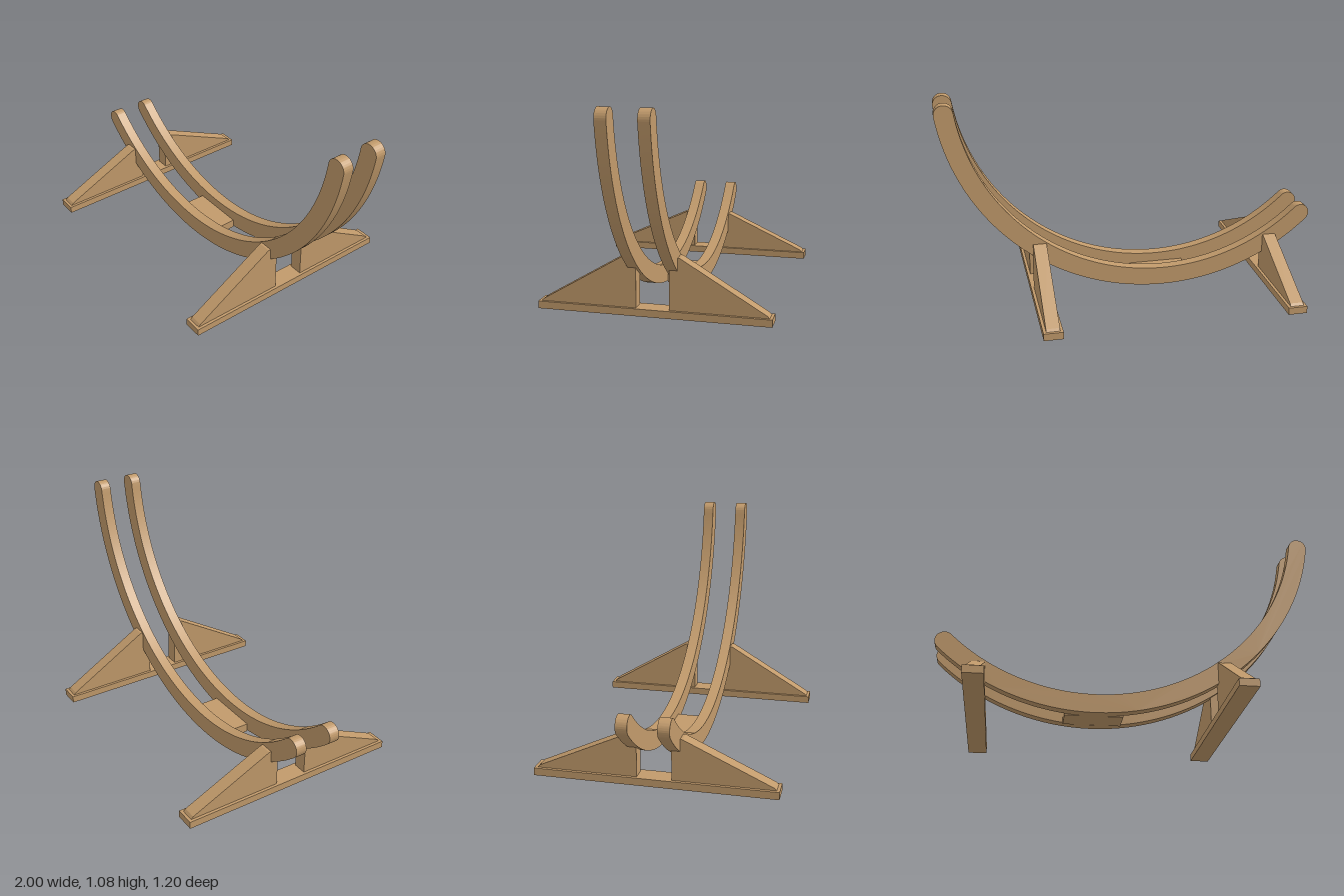
import * as THREE from 'three';
import { toCreasedNormals } from 'three/addons/utils/BufferGeometryUtils.js';

// Curved rail circle: centre, mid radius, half height, end angles
const CX = -0.175, CY = 1.192, R = 1.135, H = 0.049;
const A0 = -2.32, A1 = -0.138;
const RAIL_IN = 0.07, RAIL_OUT = 0.127;

export function createModel() {
  const model = new THREE.Group();
  model.name = 'curvedStand';
  const wood = new THREE.MeshStandardMaterial({ color: 0xc19a6b });
  wood.name = 'wood';

  const add = (geometry, name, parent = model) => {
    const mesh = new THREE.Mesh(geometry, wood);
    mesh.name = name;
    parent.add(mesh);
    return mesh;
  };
  const box = (x0, x1, y0, y1, z0, z1) =>
    new THREE.BoxGeometry(x1 - x0, y1 - y0, z1 - z0)
      .translate((x0 + x1) / 2, (y0 + y1) / 2, (z0 + z1) / 2);

  // Two arc rails with round ends
  const arc = new THREE.Shape();
  arc.absarc(CX, CY, R + H, A0, A1, false);
  arc.absarc(CX + R * Math.cos(A1), CY + R * Math.sin(A1), H, A1, A1 + Math.PI, false);
  arc.absarc(CX, CY, R - H, A1, A0, true);
  arc.absarc(CX + R * Math.cos(A0), CY + R * Math.sin(A0), H, A0 + Math.PI, A0 + 2 * Math.PI, false);
  const railGeometry = toCreasedNormals(new THREE.ExtrudeGeometry(arc, {
    depth: RAIL_OUT - RAIL_IN, bevelEnabled: false, curveSegments: 56,
  }), 0.6);
  add(railGeometry, 'frontRail').position.z = RAIL_IN;
  add(railGeometry, 'backRail').position.z = -RAIL_OUT;

  // Block joining the rails at their lowest point
  add(box(-0.325, -0.025, 0.009, 0.056, -RAIL_IN, RAIL_IN), 'spacerBlock');

  // Feet: a cross board with a sloping brace on each side
  const foot = (name, x, top) => {
    const group = new THREE.Group();
    group.name = name;
    group.position.x = x;
    model.add(group);
    add(box(-0.05, 0.05, 0, 0.038, -0.6, 0.6), 'baseBoard', group);

    const profile = new THREE.Shape([
      [0.085, 0.038], [0.585, 0.038], [0.574, 0.05], [0.139, top], [0.085, top],
    ].map(([z, y]) => new THREE.Vector2(z, y)));
    const brace = new THREE.ExtrudeGeometry(profile, { depth: 0.07, bevelEnabled: false })
      .translate(0, 0, -0.035);
    for (const side of [1, -1]) {
      add(brace, side > 0 ? 'frontBrace' : 'backBrace', group).rotation.y = -side * Math.PI / 2;
    }
  };
  foot('rightFoot', -0.77, 0.25);
  foot('leftFoot', 0.5, 0.308);

  return model;
}
